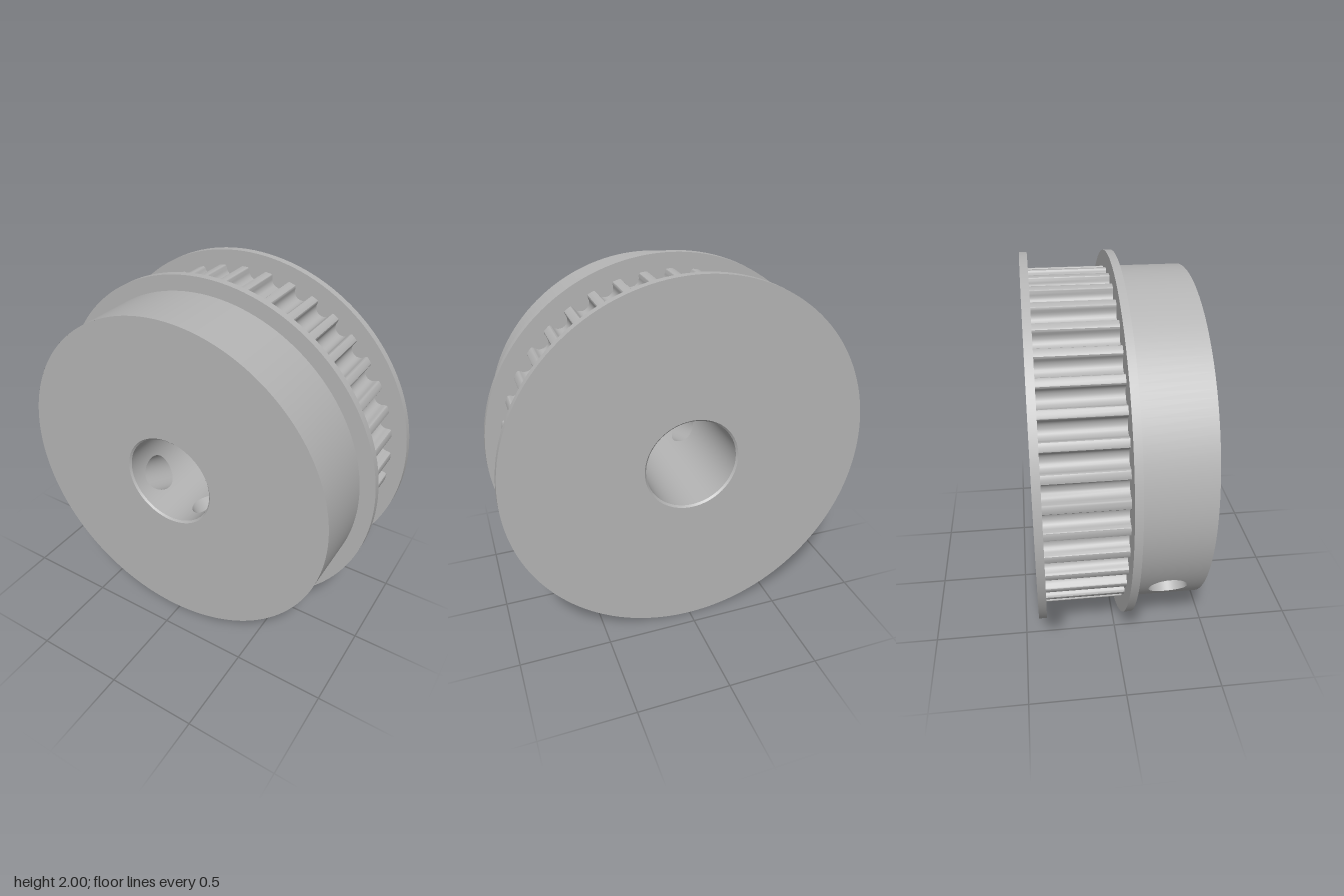
import * as THREE from 'three';
import { toCreasedNormals } from 'three/addons/utils/BufferGeometryUtils.js';
import { ParametricGeometry } from 'three/addons/geometries/ParametricGeometry.js';

const DEG = Math.PI / 180;
const RIM = 1, BODY = 0.917, BORE = 0.25, BORE_EDGE = 0.26;
const FRONT = 0.424, BACK = -0.424, BEVEL = 0.01;
const HOLE_R = 0.1, HOLE_Z = 0.24, HOLES = [214 * DEG, 304 * DEG];
const TEETH = 40, PITCH = 2 * Math.PI / TEETH;

export function createModel() {
  const group = new THREE.Group();
  group.name = 'timingPulley';
  const metal = new THREE.MeshStandardMaterial({ color: 0xb4b4b4, side: THREE.DoubleSide });
  metal.name = 'grey metal';

  const add = (name, geometry) => {
    const mesh = new THREE.Mesh(geometry, metal);
    mesh.name = name;
    group.add(mesh);
  };

  // Surface of revolution about z between two (radius, z) points; angles from +x
  const ring = (name, r0, z0, r1, z1, from = 0, to = 2 * Math.PI) => {
    const points = [new THREE.Vector2(r0, z0), new THREE.Vector2(r1, z1)];
    const segments = Math.ceil((to - from) / (2.5 * DEG));
    const geometry = new THREE.LatheGeometry(points, segments, from + Math.PI / 2, to - from);
    add(name, geometry.rotateX(Math.PI / 2));
  };

  const onCylinder = (r, angle, z, target) =>
    target.set(r * Math.cos(angle), r * Math.sin(angle), z);

  // Cylinder wall pierced by the screw holes: a patch round each hole, plain arcs between
  const piercedWall = (name, r, z0, z1, half, inward) => {
    for (const centre of HOLES) {
      add(name + 'Patch', new ParametricGeometry((u, v, target) => {
        const t = 2 * Math.PI * (inward ? u : 1 - u);
        const c = Math.cos(t), s = Math.sin(t), m = Math.max(Math.abs(c), Math.abs(s));
        const angle = THREE.MathUtils.lerp(Math.asin(HOLE_R * c / r), half * c / m, v);
        const edge = s > 0 ? z1 - HOLE_Z : HOLE_Z - z0;
        const z = HOLE_Z + THREE.MathUtils.lerp(HOLE_R * s, edge * s / m, v);
        onCylinder(r, centre + angle, z, target);
      }, 64, 6));
    }
    const [a, b] = HOLES;
    for (const [from, to] of [[a + half, b - half], [b + half, a + 2 * Math.PI - half]]) {
      if (inward) ring(name, r, z1, r, z0, from, to);
      else ring(name, r, z0, r, z1, from, to);
    }
  };

  // Hub
  piercedWall('hubWall', BODY, 0.06, FRONT, 13 * DEG, false);
  ring('hubFace', BODY, FRONT, BORE_EDGE, FRONT);

  // Shaft bore with small bevels at both ends
  piercedWall('bore', BORE, BACK + BEVEL, FRONT - BEVEL, 32 * DEG, true);
  ring('boreFrontBevel', BORE_EDGE, FRONT, BORE, FRONT - BEVEL);
  ring('boreBackBevel', BORE, BACK + BEVEL, BORE_EDGE, BACK);

  // Radial set screw holes running from the bore to the hub wall
  for (const centre of HOLES) {
    add('screwHole', new ParametricGeometry((u, v, target) => {
      const t = 2 * Math.PI * (1 - u), side = HOLE_R * Math.cos(t);
      const r0 = Math.sqrt(BORE ** 2 - side ** 2), r1 = Math.sqrt(BODY ** 2 - side ** 2);
      const along = THREE.MathUtils.lerp(r0, r1, v);
      onCylinder(Math.hypot(along, side), centre + Math.atan2(side, along),
        HOLE_Z + HOLE_R * Math.sin(t), target);
    }, 64, 4));
  }

  // Front flange
  ring('frontFlangeBack', 0.8, 0.02, RIM, 0.02);
  ring('frontFlangeRim', RIM, 0.02, RIM, 0.06);
  ring('frontFlangeFace', RIM, 0.06, BODY, 0.06);

  // Back flange
  ring('backFlangeFace', BORE_EDGE, BACK, RIM, BACK);
  ring('backFlangeRim', RIM, BACK, RIM, -0.384);
  ring('backFlangeFront', RIM, -0.384, 0.8, -0.384);

  // One groove as (sideways, depth): rounded lips and a round bottom
  const groove = [[-0.057, 0], [-0.051, 0.002], [-0.047, 0.007], [-0.0445, 0.015]];
  for (let i = 1; i < 12; i++) {
    const t = Math.PI * (1 - i / 12);
    groove.push([0.044 * Math.cos(t), 0.016 + 0.044 * Math.sin(t)]);
  }
  groove.push([0.0445, 0.015], [0.047, 0.007], [0.051, 0.002], [0.057, 0]);

  // Toothed belt track
  const outline = [];
  for (let i = 0; i < TEETH; i++) {
    const angle = -2.5 * DEG + i * PITCH;
    const c = Math.cos(angle), s = Math.sin(angle);
    for (const [side, depth] of groove) {
      const r = Math.sqrt(BODY ** 2 - side ** 2) - depth;
      outline.push(new THREE.Vector2(r * c - side * s, r * s + side * c));
    }
    const land = angle + PITCH / 2;
    outline.push(new THREE.Vector2(BODY * Math.cos(land), BODY * Math.sin(land)));
  }
  const track = new THREE.Shape(outline);
  track.holes.push(new THREE.Path().absarc(0, 0, 0.6, 0, 2 * Math.PI, true));
  const teeth = new THREE.ExtrudeGeometry(track, { depth: 0.404, bevelEnabled: false });
  add('teeth', toCreasedNormals(teeth.translate(0, 0, -0.384), 0.6));

  // Stand the rim on the ground
  for (const mesh of group.children) mesh.position.y = RIM;
  return group;
}
